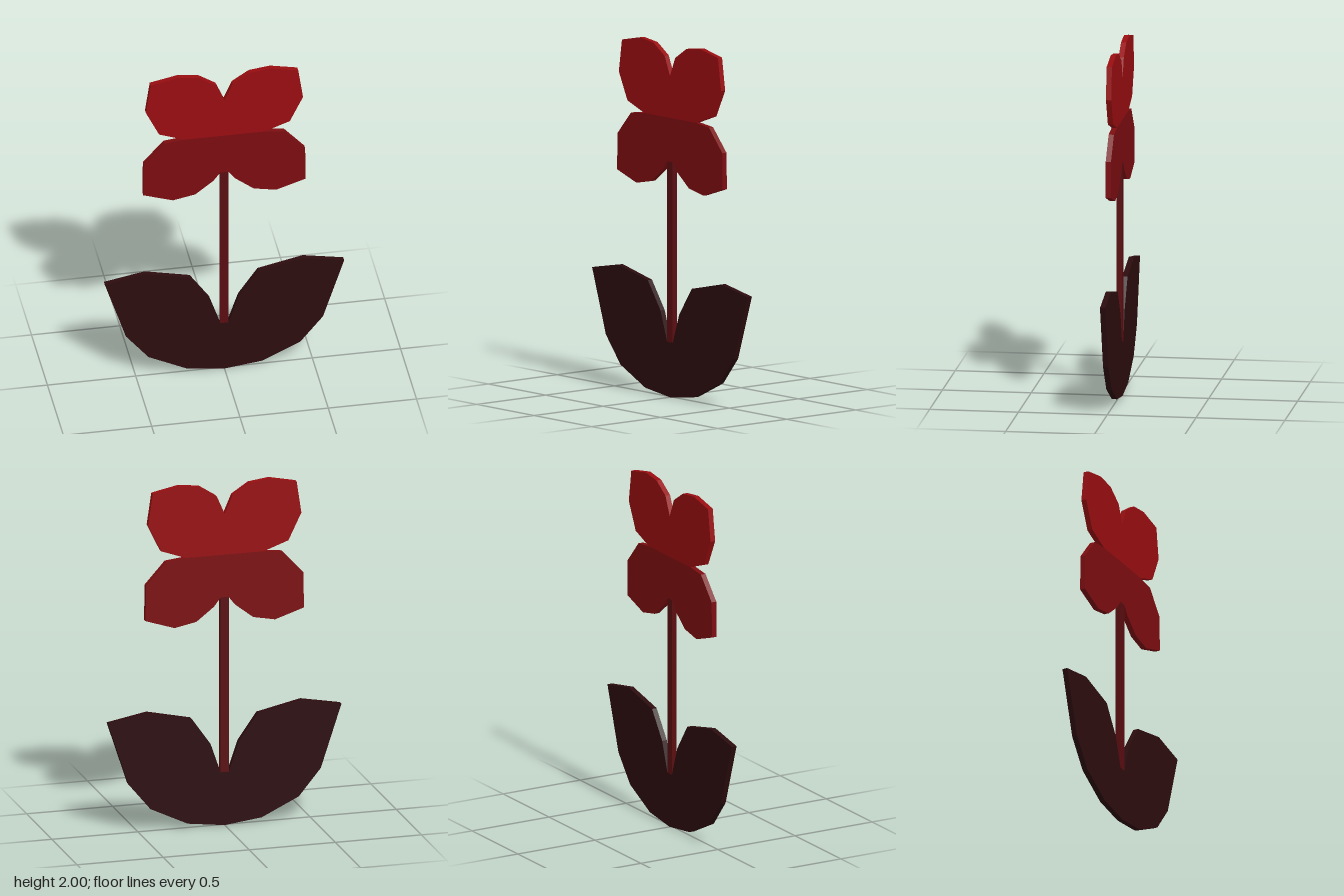
import * as THREE from 'three';

const DEPTH = 0.03;

// Flat slab whose outline is given for the +x half, then mirrored across x = 0.
// The half outline runs from the lower centre point round to the upper centre point.
function mirroredSlab(name, half, color) {
  const right = half.map(([x, y]) => new THREE.Vector2(x, y));
  const left = half.filter(([x]) => x > 0).reverse().map(([x, y]) => new THREE.Vector2(-x, y));
  const geometry = new THREE.ExtrudeGeometry(new THREE.Shape([...right, ...left]), {
    depth: DEPTH,
    bevelEnabled: false,
  });
  geometry.translate(0, 0, -DEPTH / 2);
  const mesh = new THREE.Mesh(geometry, new THREE.MeshStandardMaterial({ color }));
  mesh.name = name;
  return mesh;
}

export function createModel() {
  const flower = new THREE.Group();
  flower.name = 'flower';

  // Pair of broad leaves joined at the base
  flower.add(mirroredSlab('leaves', [
    [0, 0], [0.215, 0.027], [0.43, 0.13], [0.558, 0.285], [0.678, 0.65],
    [0.447, 0.693], [0.192, 0.637], [0.082, 0.48], [0.024, 0.31], [0, 0.31],
  ], 0x2c0c0e));

  // Stem, from the notch between the leaves to the blossom
  flower.add(mirroredSlab('stem', [
    [0, 0.31], [0.024, 0.31], [0.024, 1.33], [0, 1.33],
  ], 0x5a0d10));

  // Lower petals
  flower.add(mirroredSlab('lowerPetals', [
    [0, 1.33], [0.024, 1.33], [0.062, 1.28], [0.165, 1.2], [0.292, 1.175],
    [0.46, 1.23], [0.457, 1.435], [0.34, 1.565], [0.225, 1.578], [0, 1.578],
  ], 0x7c0d10));

  // Upper petals
  flower.add(mirroredSlab('upperPetals', [
    [0, 1.578], [0.225, 1.578], [0.37, 1.63], [0.445, 1.785], [0.418, 1.968],
    [0.262, 2], [0.143, 1.985], [0.046, 1.922], [0, 1.815],
  ], 0x980d10));

  return flower;
}
